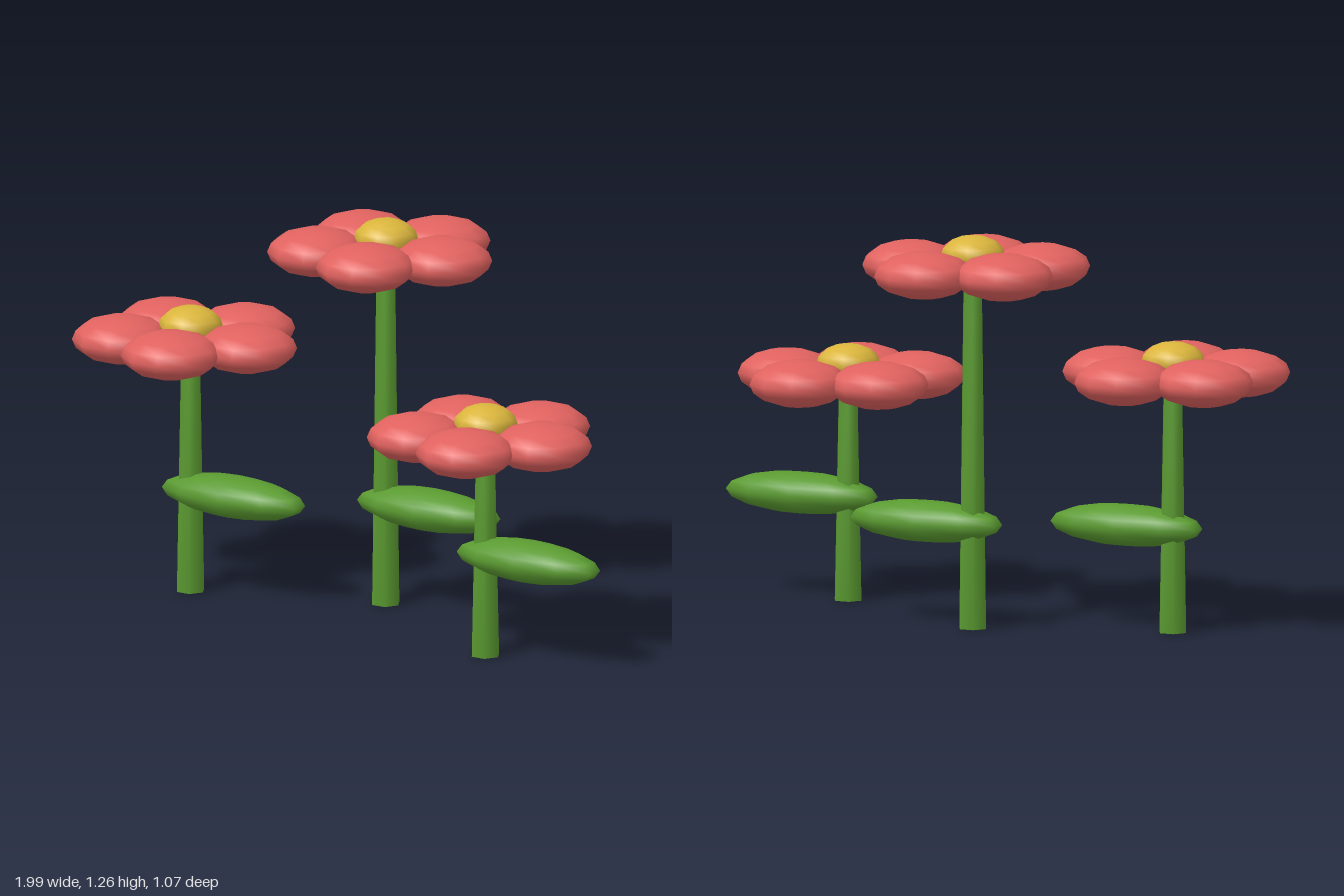
import * as THREE from 'three';
import { mergeVertices } from 'three/addons/utils/BufferGeometryUtils.js';

export function createModel() {
  const red = new THREE.MeshStandardMaterial({ name: 'petal red', color: 0xe0625f });
  const yellow = new THREE.MeshStandardMaterial({ name: 'centre yellow', color: 0xdab53c });
  const green = new THREE.MeshStandardMaterial({ name: 'stem green', color: 0x5a9a30 });

  const ball = new THREE.SphereGeometry(1, 10, 8);
  const turnedBall = ball.clone().rotateY(Math.PI / 2);

  const add = (parent, name, geometry, material, position, scale) => {
    const mesh = new THREE.Mesh(geometry, material);
    mesh.name = name;
    mesh.position.set(...position);
    if (scale) mesh.scale.set(...scale);
    parent.add(mesh);
    return mesh;
  };

  // Six-sided tapered stem, shaded smoothly over its end caps
  const makeStem = (height) => {
    let g = new THREE.CylinderGeometry(0.032, 0.048, height, 6);
    g.rotateY(Math.PI / 6);
    g.translate(0, height / 2, 0);
    g.deleteAttribute('normal');
    g.deleteAttribute('uv');
    g = mergeVertices(g, 1e-4);
    g.computeVertexNormals();
    return g;
  };

  const makeFlower = (name, x, z, headY) => {
    const flower = new THREE.Group();
    flower.name = name;
    flower.position.set(x, 0, z);
    add(flower, 'stem', makeStem(headY + 0.02), green, [0, 0, 0]);
    // One long leaf reaching out to +x
    add(flower, 'leaf', turnedBall, green, [0.166, 0.333, 0], [0.27, 0.067, 0.095]);
    // Ring of five petals
    for (let i = 0; i < 5; i++) {
      const a = (i * Math.PI * 2) / 5;
      add(flower, 'petal' + (i + 1), ball, red,
        [0.217 * Math.cos(a), headY, 0.217 * Math.sin(a)], [0.16, 0.075, 0.16]);
    }
    add(flower, 'flowerCentre', ball, yellow, [0, headY + 0.044, 0], [0.102, 0.062, 0.102]);
    return flower;
  };

  const model = new THREE.Group();
  model.name = 'flowers';
  model.add(
    makeFlower('rightFlower', -0.663, 0.04, 0.827),
    makeFlower('middleFlower', -0.06, -0.178, 1.156),
    makeFlower('leftFlower', 0.572, 0.179, 0.717)
  );
  return model;
}
